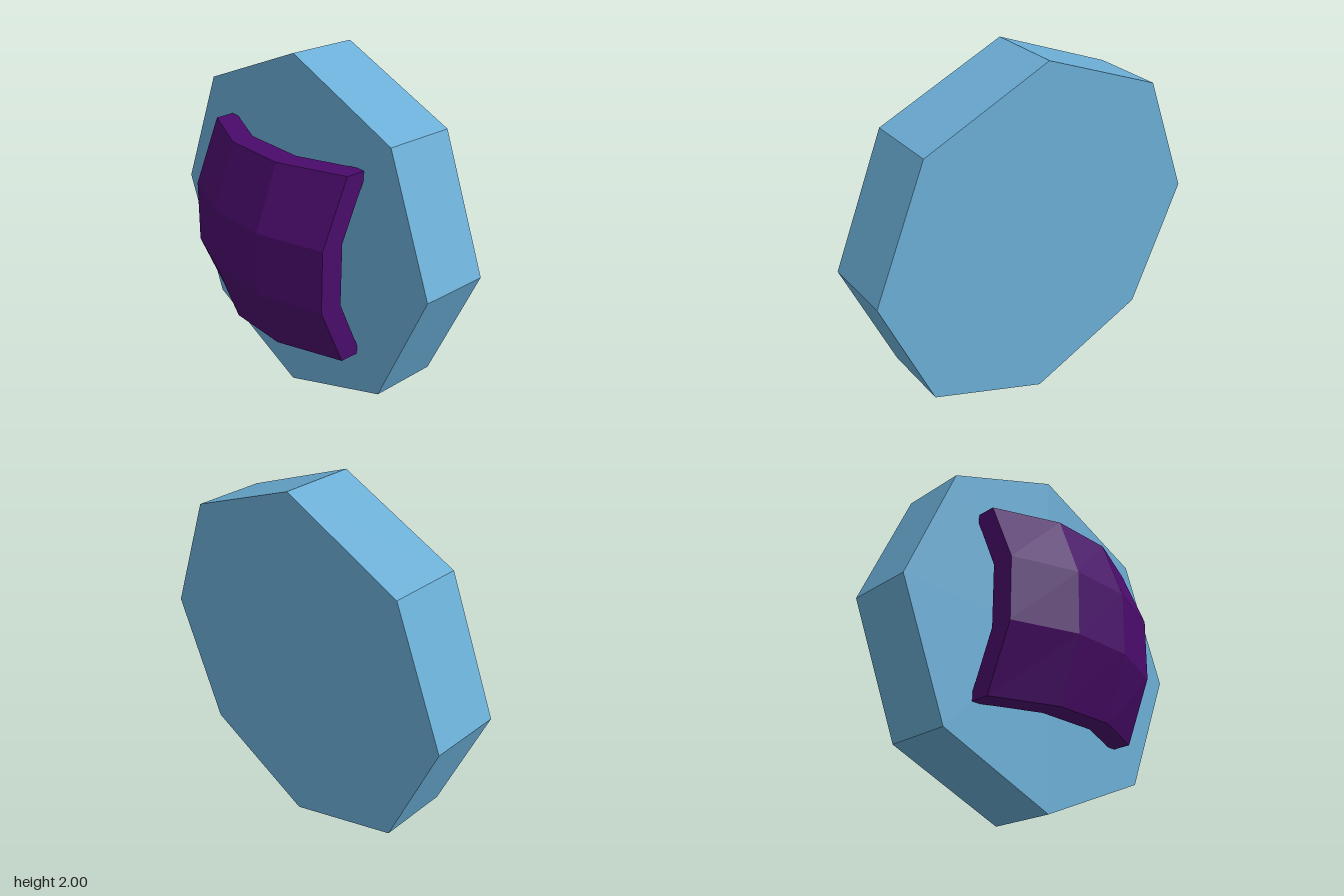
import * as THREE from 'three';

const RADIUS = 1, DEPTH = 0.39;
const PAD = 1.07, PAD_THICK = 0.13;

function material(color) {
  return new THREE.MeshStandardMaterial({ color, flatShading: true });
}

// Octagonal slab with a corner pointing up
function makePlate() {
  const geometry = new THREE.CylinderGeometry(RADIUS, RADIUS, DEPTH, 8);
  geometry.rotateX(Math.PI / 2).translate(0, 1, -DEPTH / 2);
  const mesh = new THREE.Mesh(geometry, material(0x6baed6));
  mesh.name = 'octagonPlate';
  return mesh;
}

// Square 3 x 3 pad of even thickness, its rim bent back towards the plate
function makePad() {
  const geometry = new THREE.BoxGeometry(PAD, PAD, PAD_THICK, 3, 3, 1);
  const pos = geometry.attributes.position;
  const onRim = (v) => Math.abs(v) > PAD * 0.4;
  const drop = [0, 0.13, 0.282]; // middle, edge, corner
  for (let i = 0; i < pos.count; i++) {
    const rims = Number(onRim(pos.getX(i))) + Number(onRim(pos.getY(i)));
    pos.setZ(i, pos.getZ(i) - drop[rims]);
  }
  geometry.translate(0, 1, DEPTH - PAD_THICK / 2);
  geometry.computeVertexNormals();
  const mesh = new THREE.Mesh(geometry, material(0x4a0c6b));
  mesh.name = 'curvedPad';
  return mesh;
}

export function createModel() {
  const group = new THREE.Group();
  group.name = 'octagonWithCurvedPad';
  group.add(makePlate(), makePad());
  return group;
}
